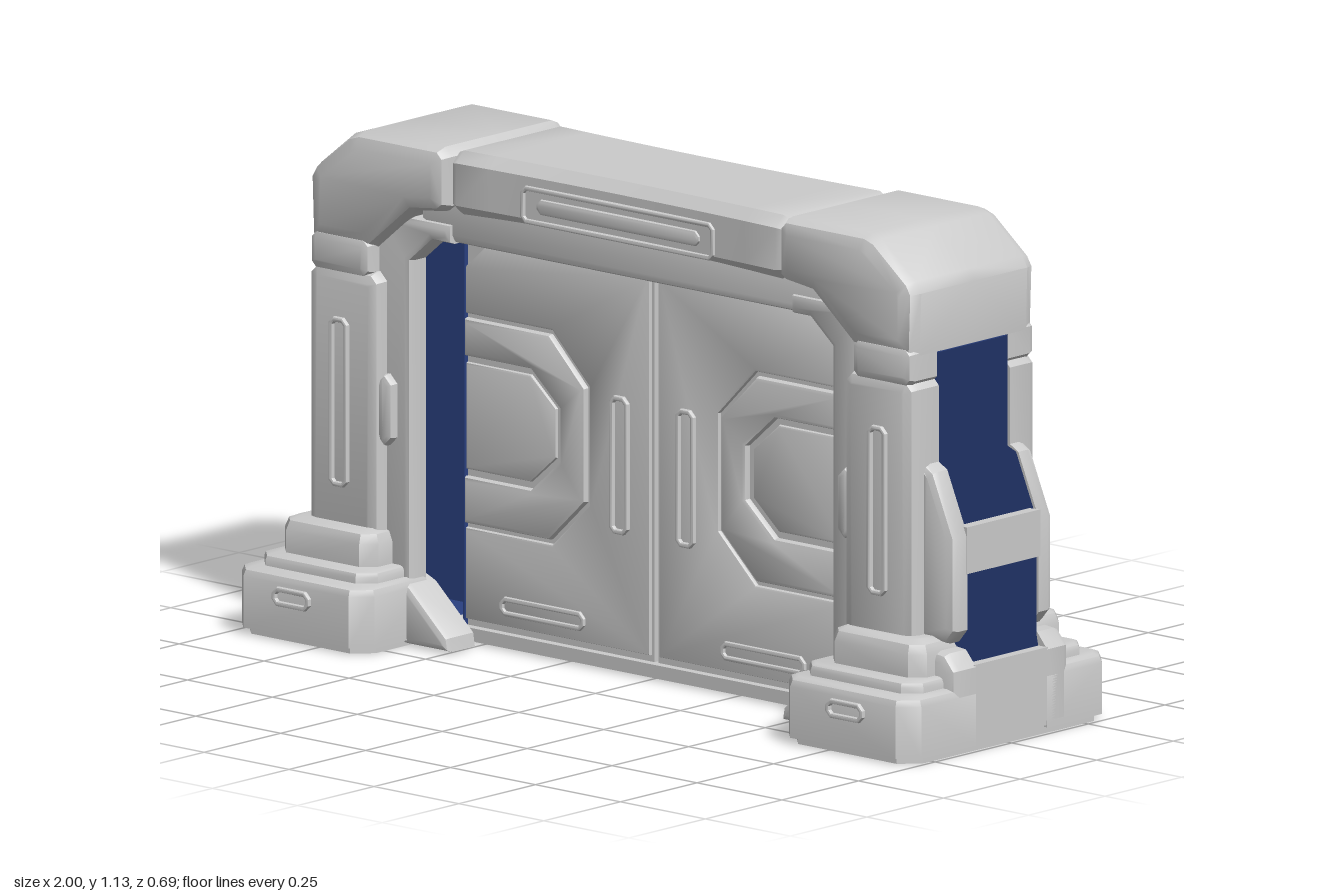
import * as THREE from 'three';
import { toCreasedNormals } from 'three/addons/utils/BufferGeometryUtils.js';

const grey = new THREE.MeshStandardMaterial({ color: 0xcccccc });
const blue = new THREE.MeshStandardMaterial({ color: 0x2a4080 });

const shapeOf = pts => new THREE.Shape(pts.map(p => new THREE.Vector2(p[0], p[1])));

// Rectangle with cut corners
const cutRect = (x0, y0, x1, y1, c) => [
  [x0 + c, y0], [x1 - c, y0], [x1, y0 + c], [x1, y1 - c],
  [x1 - c, y1], [x0 + c, y1], [x0, y1 - c], [x0, y0 + c]];

// Extrusion from z0 to z1, bevelled on the far end only
function slab(shape, z0, z1, b = 0.015) {
  const g = new THREE.ExtrudeGeometry(shape, {
    depth: z1 - z0 - b, bevelEnabled: b > 0, bevelThickness: b, bevelSize: b,
    bevelOffset: -b, bevelSegments: 2, curveSegments: 5 });
  g.translate(0, 0, z0);
  const p = g.attributes.position;
  for (let i = 0; i < p.count; i++) p.setZ(i, Math.max(z0, p.getZ(i)));
  return g;
}

// Same, standing on a plan outline given as [x, z]
const block = (plan, y0, y1, b) =>
  slab(shapeOf(plan.map(([x, z]) => [x, -z]).reverse()), y0, y1, b).rotateX(-Math.PI / 2);

// Raised rim around a long rounded slot
function slotRim(x0, y0, x1, y1, z) {
  const rim = shapeOf(cutRect(x0, y0, x1, y1, 0.014));
  const t = 0.011;
  rim.holes.push(new THREE.Path(cutRect(x0 + t, y0 + t, x1 - t, y1 - t, 0.006)
    .map(p => new THREE.Vector2(p[0], p[1]))));
  return slab(rim, z - 0.01, z + 0.01, 0.004);
}

// Mirrored copy that keeps its faces turned outwards
function mirrored(geo, sx, sz) {
  const g = geo.index ? geo.toNonIndexed() : geo.clone();
  g.scale(sx, 1, sz);
  if (sx * sz < 0) {
    const a = g.attributes.position.array;
    for (let i = 0; i < a.length; i += 9)
      for (let k = 0; k < 3; k++) [a[i + 3 + k], a[i + 6 + k]] = [a[i + 6 + k], a[i + 3 + k]];
  }
  g.computeVertexNormals();
  return toCreasedNormals(g, 0.6);
}

export function createModel() {
  const gate = new THREE.Group();
  gate.name = 'slidingDoorGate';
  const BOTH = [1, -1], ONE = [1];

  function add(name, geo, xs = BOTH, zs = BOTH, mat = grey) {
    for (const sx of xs) for (const sz of zs) {
      const m = new THREE.Mesh(mirrored(geo, sx, sz), mat);
      m.name = name;
      gate.add(m);
    }
  }
  const box = (x0, x1, y0, y1, z0, z1) => new THREE.BoxGeometry(x1 - x0, y1 - y0, z1 - z0)
    .translate((x0 + x1) / 2, (y0 + y1) / 2, (z0 + z1) / 2);

  // Feet: a base plate with stepped blocks at front and back
  add('footPlate', block(cutRect(0.62, -0.32, 0.99, 0.32, 0.04), 0, 0.03, 0), BOTH, ONE);
  const footPlan = (x0, x1, z, c) =>
    [[x0, 0.116], [x1, 0.116], [x1, z - c], [x1 - c, z], [x0 + c, z], [x0, z - c]];
  add('footBlock', block(footPlan(0.61, 1, 0.335, 0.04), 0.015, 0.15, 0.02));
  add('footStep', block(footPlan(0.635, 0.97, 0.29, 0.035), 0.14, 0.175, 0.012));
  add('footCollar', block(footPlan(0.67, 0.945, 0.245, 0.03), 0.17, 0.255, 0.03));
  add('footSlot', slotRim(0.76, 0.08, 0.87, 0.123, 0.335));
  add('footEndWall', box(0.975, 0.998, 0.02, 0.165, -0.12, 0.12), BOTH, ONE);

  // Pillars in front of and behind the door
  add('pillar', slab(shapeOf(cutRect(0.685, 0.2, 0.89, 0.825, 0.02)), 0.116, 0.205, 0.025));
  add('pillarSlot', slotRim(0.765, 0.335, 0.82, 0.715, 0.205));
  add('pillarNeck', slab(shapeOf(cutRect(0.71, 0.81, 0.885, 0.9, 0.015)), 0.116, 0.206, 0.02));
  add('jambPad', slab(shapeOf(cutRect(0.655, 0.44, 0.7, 0.6, 0.02)), 0.13, 0.192, 0.012));

  // Inner jamb with slanted top corner, and the lower lintel
  add('jamb', slab(shapeOf([[0.62, 0.02], [0.72, 0.02], [0.72, 0.96], [0.5, 0.96], [0.5, 0.915],
    [0.555, 0.915], [0.62, 0.86]]), 0.116, 0.17, 0.015));
  add('lowerLintel', slab(shapeOf([[-0.6, 0.915], [0.6, 0.915], [0.6, 1.02], [-0.6, 1.02]]),
    0, 0.16, 0.02), ONE);
  add('jambWedge', slab(shapeOf([[0.49, 0.005], [0.64, 0.005], [0.64, 0.15], [0.605, 0.135],
    [0.495, 0.035]]), 0.1, 0.19, 0.015));
  add('threshold', box(-0.63, 0.63, 0.005, 0.035, -0.07, 0.07), ONE, ONE);

  // Corner caps
  add('cornerCap', slab(shapeOf([[0.885, 0.88], [0.89, 1.02], [0.875, 1.045], [0.775, 1.125],
    [0.745, 1.135], [0.51, 1.135], [0.49, 1.115], [0.49, 1.005], [0.51, 0.99], [0.59, 0.98],
    [0.71, 0.88]]), 0, 0.208, 0.035));

  // Top beam, slightly waisted in the middle
  const beam = new THREE.ExtrudeGeometry(shapeOf(cutRect(-0.176, 0.985, 0.176, 1.13, 0.025)),
    { depth: 0.94, steps: 10, bevelThickness: 0.02, bevelSize: 0.02, bevelOffset: -0.02, bevelSegments: 2 });
  beam.translate(0, 0, -0.47).rotateY(Math.PI / 2);
  const bp = beam.attributes.position;
  for (let i = 0; i < bp.count; i++) bp.setZ(i, bp.getZ(i) * (0.97 + 0.08 * (bp.getX(i) / 0.49) ** 2));
  add('topBeam', beam, ONE, ONE);
  add('beamSlot', slotRim(-0.285, 1.0, 0.285, 1.085, 0.172), ONE);
  add('beamSlotBar', slab(shapeOf(cutRect(-0.24, 1.025, 0.24, 1.06, 0.012)), 0.16, 0.18, 0.006), ONE);

  // Two door leaves, with the same relief on both faces
  add('doorLeaf', box(0.006, 0.558, 0.035, 0.92, -0.05, 0.05), BOTH, ONE);
  add('doorPlate', slab(shapeOf([[0.014, 0.05], [0.556, 0.05], [0.556, 0.255], [0.3, 0.255],
    [0.19, 0.36], [0.19, 0.625], [0.3, 0.735], [0.556, 0.735], [0.556, 0.84], [0.49, 0.9],
    [0.014, 0.9]]), 0.045, 0.06, 0.006));
  add('doorRing', slab(shapeOf([[0.556, 0.265], [0.556, 0.37], [0.36, 0.37], [0.275, 0.445],
    [0.275, 0.565], [0.36, 0.64], [0.556, 0.64], [0.556, 0.725], [0.305, 0.725], [0.2, 0.62],
    [0.2, 0.365], [0.305, 0.265]]), 0.045, 0.066, 0.01));
  add('doorCore', slab(shapeOf([[0.556, 0.385], [0.556, 0.625], [0.365, 0.625], [0.29, 0.56],
    [0.29, 0.45], [0.365, 0.385]]), 0.045, 0.058, 0.006));
  add('doorHandle', slotRim(0.07, 0.31, 0.125, 0.62, 0.06));
  add('doorLowerSlot', slotRim(0.2, 0.075, 0.45, 0.118, 0.058));

  // Side guards on the left end only
  add('sideGuard', slab(shapeOf([[0.87, 0.24], [0.95, 0.24], [0.975, 0.27], [0.975, 0.48],
    [0.915, 0.62], [0.87, 0.645]]), 0.116, 0.165, 0.02), ONE);
  add('footGuard', slab(shapeOf([[0.87, 0.03], [1, 0.03], [1, 0.19], [0.97, 0.225],
    [0.87, 0.235]]), 0.116, 0.19, 0.02), ONE);
  add('guardWall', box(0.975, 0.999, 0.03, 0.195, -0.12, 0.12), ONE, ONE);
  add('guardBar', box(0.95, 0.976, 0.395, 0.5, -0.12, 0.12), ONE, ONE);

  // Blue linings inside the hollow frame
  const lining = pts => new THREE.ShapeGeometry(shapeOf(pts)).rotateY(Math.PI)
    .scale(1, 1, 1).translate(0, 0, 0.114);
  add('frameLining', lining([[-0.62, 0.03], [-0.975, 0.03], [-0.975, 0.15], [-0.94, 0.24],
    [-0.885, 0.255], [-0.885, 0.88], [-0.62, 0.88]]), BOTH, BOTH, blue);
  add('guardLining', lining([[-0.885, 0.15], [-0.985, 0.15], [-0.97, 0.22], [-0.97, 0.48],
    [-0.91, 0.62], [-0.885, 0.63]]), ONE, BOTH, blue);
  add('footLining', box(0.62, 0.975, 0.028, 0.033, -0.114, 0.114), BOTH, ONE, blue);
  add('capLining', box(0.72, 0.88, 0.876, 0.882, -0.114, 0.114), BOTH, ONE, blue);
  add('doorEdge', box(0.555, 0.56, 0.035, 0.9, -0.062, 0.062), BOTH, ONE, blue);

  return gate;
}
